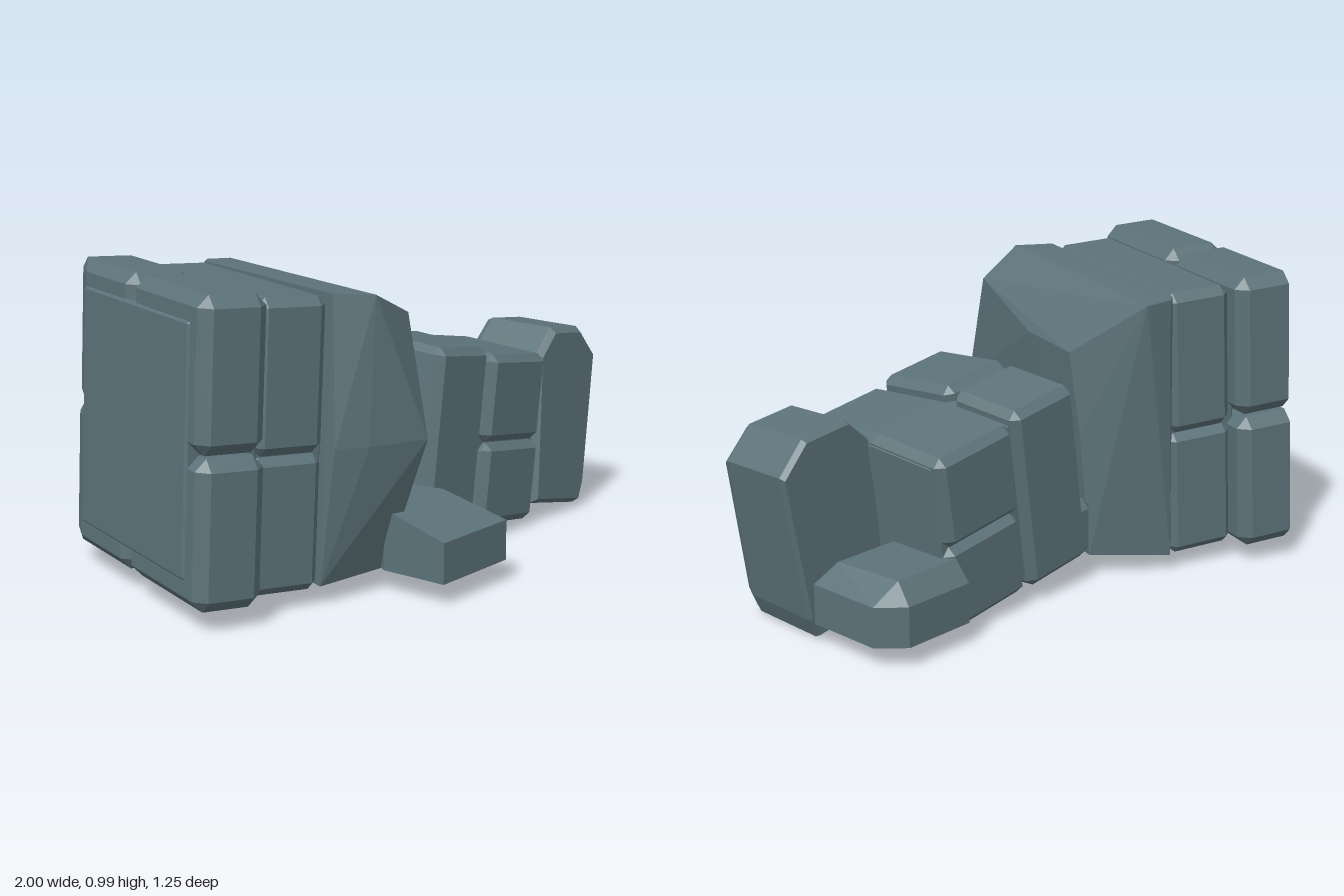
import * as THREE from 'three';
import { ConvexGeometry } from 'three/addons/geometries/ConvexGeometry.js';

const stone = new THREE.MeshStandardMaterial({ color: 0x5c7279 });
stone.name = 'slate stone';

// faceted stone from its corner points
function hull(name, points) {
  const mesh = new THREE.Mesh(new ConvexGeometry(points.map((p) => new THREE.Vector3(...p))), stone);
  mesh.name = name;
  return mesh;
}

// block with cut edges, given by its ranges along each axis;
// taper lowers its height away from z = 0, backCut widens the cut on the edge at x0, z0
function block(name, [x0, x1], [y0, y1], [z0, z1], c, { taper = 0, backCut = c } = {}) {
  const pts = [];
  for (const [x, sx] of [[x0, 1], [x1, -1]])
    for (const [y, sy] of [[y0, 1], [y1, -1]]) {
      for (const [z, sz] of [[z0, 1], [z1, -1]]) {
        const cz = x === x0 && z === z0 ? backCut : c;
        pts.push([x, y + sy * c, z + sz * cz], [x + sx * c, y, z + sz * c], [x + sx * c, y + sy * c, z]);
      }
      if (z0 < 0 && z1 > 0) pts.push([x, y + sy * c, 0], [x + sx * c, y, 0]);
    }
  return hull(name, pts.map(([x, y, z]) => [x, y * (1 - taper * Math.abs(z)), z]));
}

// group tilted sideways around a point
function tilted(name, x, y, angle) {
  const g = new THREE.Group();
  g.name = name;
  g.position.set(x, y, 0);
  g.rotation.z = angle;
  return g;
}

export function createModel() {
  const model = new THREE.Group();
  model.name = 'fallenMasonry';

  // standing courses, turned about the vertical and leaning a little
  const turned = new THREE.Group();
  turned.name = 'standingCourses';
  turned.rotation.y = -0.363;
  const lean = tilted('leaningCourses', -0.62, 0.52, -0.045);
  turned.add(lean);
  model.add(turned);

  // outer course: four corner stones around a flush core
  for (const [y, grow] of [[[-0.465, -0.01], 0.01], [[-0.004, 0.46], 0]]) {
    lean.add(block('outerBackStone', [-0.225, -0.005], y, [-0.35 - grow, 0.088], 0.036, { backCut: 0.11 }));
    lean.add(block('outerFrontStone', [-0.225, -0.005], y, [0.096, 0.575 + grow], 0.036));
  }
  lean.add(block('outerCore', [-0.232, 0], [-0.38, 0.38], [-0.24, 0.5], 0.008));

  // middle course: two stones, one above the other
  lean.add(block('middleStone', [-0.01, 0.225], [-0.46, -0.04], [-0.285, 0.5], 0.025));
  lean.add(block('middleStone', [-0.005, 0.225], [-0.036, 0.435], [-0.295, 0.505], 0.028));
  lean.add(block('middleCore', [-0.03, 0.23], [-0.44, 0.41], [-0.26, 0.47], 0.005));

  // large broken inner slab
  model.add(hull('innerSlab', [
    [-0.52, 0.95, 0.34], [-0.43, 0.945, 0.43], [-0.25, 0.945, -0.42], [-0.21, 0.945, -0.445], [-0.12, 0.94, -0.425],
    [-0.24, 0.865, 0.405], [-0.03, 0.76, -0.18], [-0.1, 0.77, 0.06],
    [-0.55, 0.49, 0.37], [-0.46, 0.49, 0.43], [-0.27, 0.49, 0.505], [-0.04, 0.49, -0.22],
    [-0.56, 0.06, 0.32], [-0.3, 0.07, 0.37], [-0.27, 0.06, -0.42], [-0.07, 0.07, -0.24],
  ]));

  // loose wedge in front
  model.add(hull('looseWedge', [
    [-0.34, 0.07, 0.62], [-0.01, 0.07, 0.62], [-0.34, 0.2, 0.62], [-0.01, 0.2, 0.62],
    [-0.335, 0.265, 0.39], [-0.03, 0.265, 0.39], [-0.13, 0.265, 0.08], [-0.06, 0.265, 0.08],
    [-0.335, 0.07, 0.39], [-0.13, 0.07, 0.06], [-0.02, 0.07, 0.12],
  ]));

  // first fallen course: front and back stones
  const taper = 0.25;
  const first = tilted('firstFallenCourse', 0.15, 0.375, -0.14);
  first.add(block('fallenStone', [-0.14, 0.14], [-0.325, 0.33], [0.003, 0.32], 0.026, { taper }));
  first.add(block('fallenStone', [-0.14, 0.14], [-0.325, 0.325], [-0.28, -0.003], 0.026, { taper }));
  first.add(block('fallenCore', [-0.1, 0.17], [-0.29, 0.28], [-0.25, 0.29], 0.005, { taper }));
  model.add(first);
  model.add(block('footRubble', [-0.06, 0.1], [0.09, 0.28], [-0.27, 0.19], 0.03));

  // second fallen course: upper and lower stones
  const second = tilted('secondFallenCourse', 0.463, 0.325, -0.14);
  second.add(block('fallenStone', [-0.163, 0.162], [-0.007, 0.31], [-0.288, 0.325], 0.026, { taper }));
  second.add(block('fallenStone', [-0.16, 0.16], [-0.31, -0.013], [-0.278, 0.33], 0.026, { taper }));
  second.add(block('fallenCore', [-0.18, 0.165], [-0.28, 0.28], [-0.25, 0.29], 0.005, { taper }));
  model.add(second);

  // end stone, with its front and back edges cut and its front leaning back
  const outline = [[0.6, 0.06], [0.88, 0.005], [0.91, 0.07], [1, 0.55], [0.91, 0.65], [0.74, 0.67], [0.65, 0.59]];
  const ring = (z, s, slope = 0) => outline.map(([x, y]) =>
    [0.8 + (x - 0.8) * s, 0.34 + (y - 0.34) * s, z - slope * y]);
  model.add(hull('endStone', [...ring(0.02, 0.97), ...ring(0.04, 1), ...ring(0.3, 0.98, 0.03), ...ring(0.33, 0.92, 0.04)]));

  // small loose stone behind the end stone
  model.add(hull('looseStone', [
    [0.59, 0.07, -0.335], [0.84, 0.07, -0.335], [0.915, 0.07, -0.26], [0.915, 0.07, 0], [0.59, 0.07, 0],
    [0.59, 0.2, -0.335], [0.84, 0.2, -0.335], [0.915, 0.2, -0.26], [0.915, 0.2, 0], [0.59, 0.2, 0],
    [0.59, 0.265, -0.28], [0.83, 0.265, -0.28], [0.85, 0.265, -0.04], [0.59, 0.265, -0.04],
  ]));

  return model;
}
